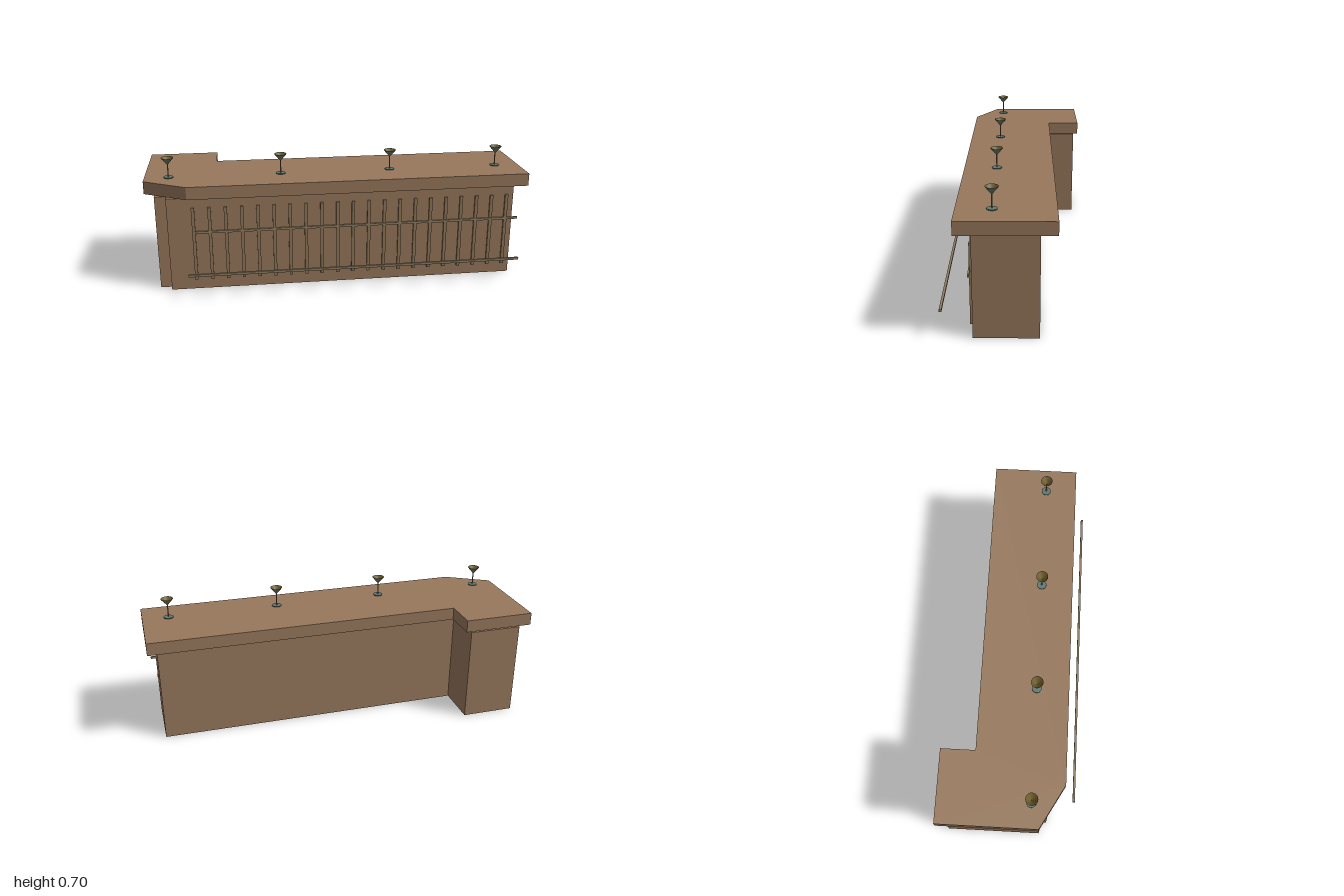
import * as THREE from 'three';

const mat = (color, side = THREE.FrontSide) => new THREE.MeshStandardMaterial({ color, side });
const wood = mat(0x97785c);
const slatWood = mat(0x8f7558);
const railMetal = mat(0x8c7d62);
const stemMetal = mat(0x967c5a);
const cupGlass = mat(0x6f7a66, THREE.DoubleSide);
const baseGlass = mat(0x5f7a72);
const drinkColor = mat(0x6b5a2c, THREE.DoubleSide);

function add(parent, name, geometry, material, x = 0, y = 0, z = 0) {
  const mesh = new THREE.Mesh(geometry, material);
  mesh.name = name;
  mesh.position.set(x, y, z);
  parent.add(mesh);
  return mesh;
}

// Upright prism from a floor plan of [x, z] corners
function prism(plan, height) {
  const shape = new THREE.Shape(plan.map(([x, z]) => new THREE.Vector2(x, -z)));
  return new THREE.ExtrudeGeometry(shape, { depth: height, bevelEnabled: false }).rotateX(-Math.PI / 2);
}

const lathe = (points, segments = 24) =>
  new THREE.LatheGeometry(points.map(([r, y]) => new THREE.Vector2(r, y)), segments);

// Stemmed cocktail glass standing on its own origin
function makeGlass() {
  const glass = new THREE.Group();
  glass.name = 'cocktailGlass';
  add(glass, 'glassBase', new THREE.CylinderGeometry(0.025, 0.025, 0.004, 24), baseGlass, 0, 0.002, 0);
  add(glass, 'glassStem', new THREE.CylinderGeometry(0.003, 0.003, 0.068, 12), stemMetal, 0, 0.037, 0);
  add(glass, 'glassCup', lathe([[0.003, 0.07], [0.031, 0.103], [0.031, 0.106]]), cupGlass);
  add(glass, 'glassLining', lathe([[0, 0.072], [0.0025, 0.072], [0.0295, 0.104]]), drinkColor);
  return glass;
}

export function createModel() {
  const model = new THREE.Group();
  model.name = 'barCounter';

  // Body with a rear return at one end and a small notched front corner
  add(model, 'counterBody', prism([
    [-0.95, -0.33], [-0.95, 0.168], [-0.89, 0.168], [-0.89, 0.205],
    [0.95, 0.205], [0.95, -0.1], [-0.67, -0.1], [-0.67, -0.33],
  ], 0.507), wood);

  // Worktop floating just above the body, with one cut corner
  add(model, 'counterTop', prism([
    [-1, -0.352], [-1, 0.155], [-0.78, 0.28],
    [1, 0.28], [1, -0.175], [-0.63, -0.175], [-0.63, -0.352],
  ], 0.066), wood, 0, 0.523, 0);

  // Row of upright slats along the front
  const slats = new THREE.Group();
  slats.name = 'frontSlats';
  const slatGeometry = new THREE.BoxGeometry(0.017, 0.4, 0.01);
  for (let i = 0; i < 21; i++) {
    add(slats, 'slat', slatGeometry, slatWood, -0.757 + i * 0.0834, 0.255, 0.212);
  }
  model.add(slats);

  // Horizontal rails: one across the slats, one foot rail standing clear
  add(model, 'slatRail', new THREE.BoxGeometry(1.73, 0.012, 0.008), railMetal, 0.112, 0.322, 0.217);
  add(model, 'footRail', new THREE.BoxGeometry(1.74, 0.012, 0.012), railMetal, 0.08, 0.139, 0.348);

  // Four glasses spaced along the worktop
  for (let i = 0; i < 4; i++) {
    const glass = makeGlass();
    glass.position.set(-0.874 + i * 0.5793, 0.594, 0.114);
    model.add(glass);
  }
  return model;
}
